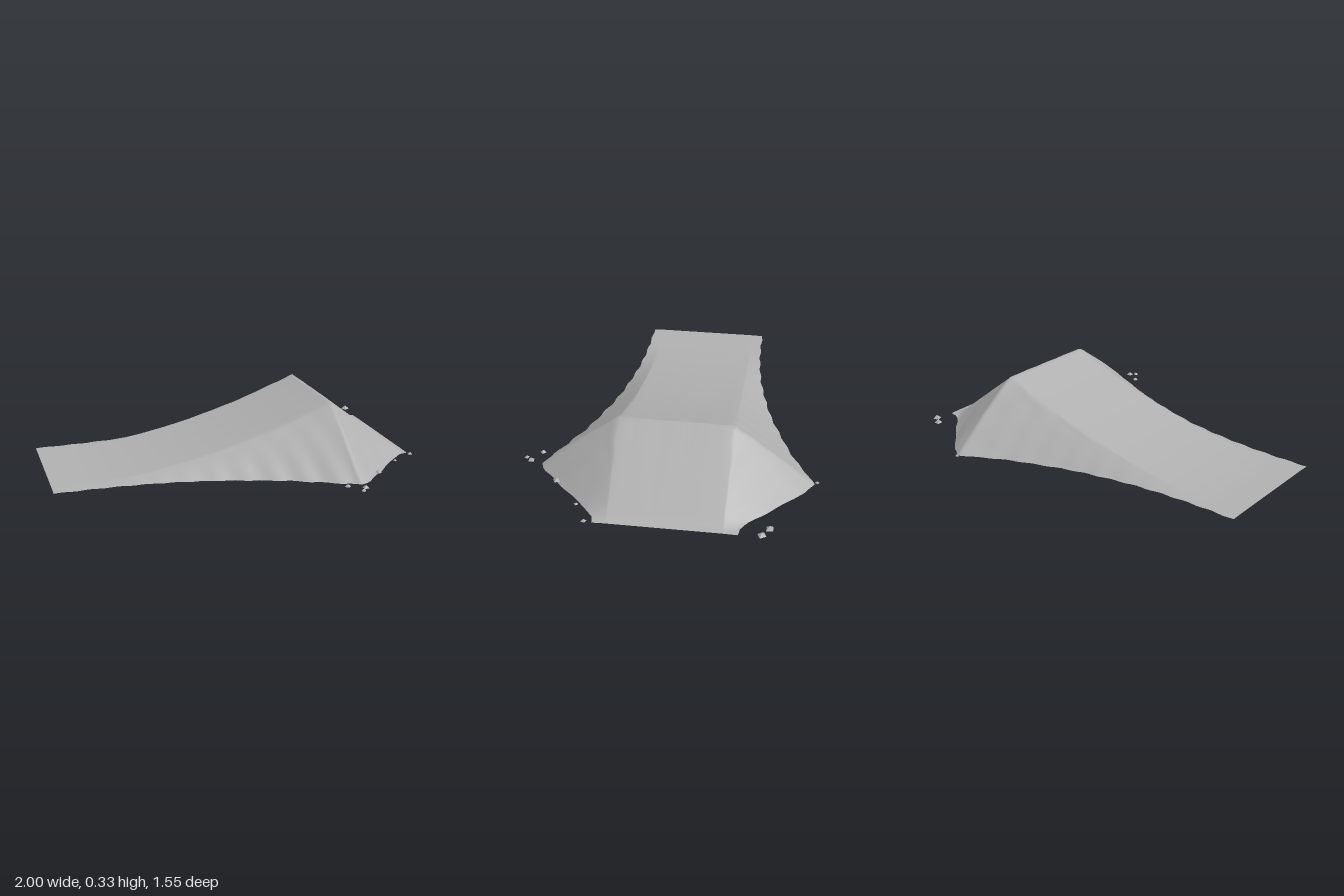
import * as THREE from 'three';

const CENTER_Z = -0.042, CREST = 0.53, PEAK = 0.326, DECK = 0.285;

// Height of the deck along the ramp: long curved rise, short straight drop
function height(x) {
  const rise = PEAK * Math.pow(Math.max(0, (x + 0.9) / 1.43), 1.82);
  const drop = PEAK * (0.95 - x) / 0.42;
  return Math.max(0.002, Math.min(rise, drop));
}

// Half width of the footprint along the ramp
const TOE = [[0.53, 0.715], [0.6, 0.675], [0.7, 0.575], [0.8, 0.48], [0.86, 0.415], [0.93, 0.365], [0.98, 0.353]];
function halfWidth(x) {
  if (x <= CREST) return 0.352 + 0.363 * Math.pow(Math.max(0, (x + 0.9) / 1.43), 2.23);
  const k = TOE.findIndex((p) => p[0] >= x);
  const [x0, w0] = TOE[k - 1], [x1, w1] = TOE[k];
  return w0 + (w1 - w0) * (x - x0) / (x1 - x0);
}

// Earth bank cross-section: [share of the bank's width, share of the height]
const BANK = [[1, 0], [0.85, 0.16], [0.69, 0.34], [0.52, 0.51], [0.36, 0.675], [0.22, 0.81], [0.1, 0.92], [0.05, 0.97], [0, 0.995]];

function section(x) {
  const h = height(x), w = halfWidth(x), pts = [];
  const bank = (side) => BANK.map(([f, v]) => {
    // gentle lumps, strongest where the bank is tall
    const lump = Math.sin(x * 31 + f * 7 + side) * Math.sin(x * 13 - f * 11) * 0.02 * h;
    const edge = f * 0.004 * Math.sin(x * 43 + side * 2);
    return [x, h * v, CENTER_Z + side * (DECK + f * (w - DECK) + edge + lump)];
  });
  pts.push(...bank(1));
  // deck with faint wheel ruts
  for (let i = 1; i < 12; i++) {
    const z = DECK * (1 - i / 6);
    pts.push([x, h * (1 - 0.008 * (1 - Math.cos(z * 42)) / 2), CENTER_Z + z]);
  }
  pts.push(...bank(-1).reverse());
  return pts;
}

// Joins equal-length rows of points into a smooth surface
function loft(rows, flip) {
  const n = rows[0].length, index = [];
  for (let i = 0; i < rows.length - 1; i++) {
    for (let j = 0; j < n - 1; j++) {
      const a = i * n + j, b = a + n, c = a + 1, d = b + 1;
      if (flip) index.push(a, c, b, b, c, d);
      else index.push(a, b, c, b, d, c);
    }
  }
  const geo = new THREE.BufferGeometry();
  geo.setAttribute('position', new THREE.Float32BufferAttribute(rows.flat(2), 3));
  geo.setIndex(index);
  geo.computeVertexNormals();
  return geo;
}

export function createModel() {
  const group = new THREE.Group();
  const earth = new THREE.MeshStandardMaterial({ color: 0xb0b0b0 });
  earth.name = 'grey earth';

  const add = (name, geo) => {
    const mesh = new THREE.Mesh(geo, earth);
    mesh.name = name;
    group.add(mesh);
    return mesh;
  };

  // Stations along the ramp, with closer ones around the crest
  const xs = [];
  for (let i = 0; i <= 50; i++) xs.push(-1 + i * 0.03);
  xs.push(0.515, 0.53, 0.545);
  for (let i = 0; i <= 13; i++) xs.push(0.57 + i * 0.03);
  xs.push(0.975);
  const rows = xs.map(section);
  add('rampMound', loft(rows, false));

  // Flat underside following the same footprint
  add('rampBase', loft(rows.map((r) => [r[0], r[r.length - 1]]), true));

  // Loose stones round the foot: x, z, size
  const stones = [
    [0.445, 0.685, 0.018], [0.5, 0.76, 0.016], [0.525, 0.73, 0.021],
    [0.68, 0.555, 0.022], [0.85, 0.415, 0.012], [0.975, 0.35, 0.016],
    [0.92, -0.55, 0.025], [0.972, -0.515, 0.026], [0.52, -0.77, 0.013],
  ];
  stones.forEach(([x, z, s], i) => {
    const geo = new THREE.OctahedronGeometry(1, 0);
    const pos = geo.attributes.position;
    for (let k = 0; k < pos.count; k++) pos.setY(k, Math.max(-0.5, pos.getY(k)));
    geo.computeVertexNormals();
    const stone = add('stone' + (i + 1), geo);
    stone.scale.set(s, s * 0.75, s * 0.9);
    stone.position.set(x, s * 0.375, z);
    stone.rotation.y = i * 0.4;
  });

  return group;
}
